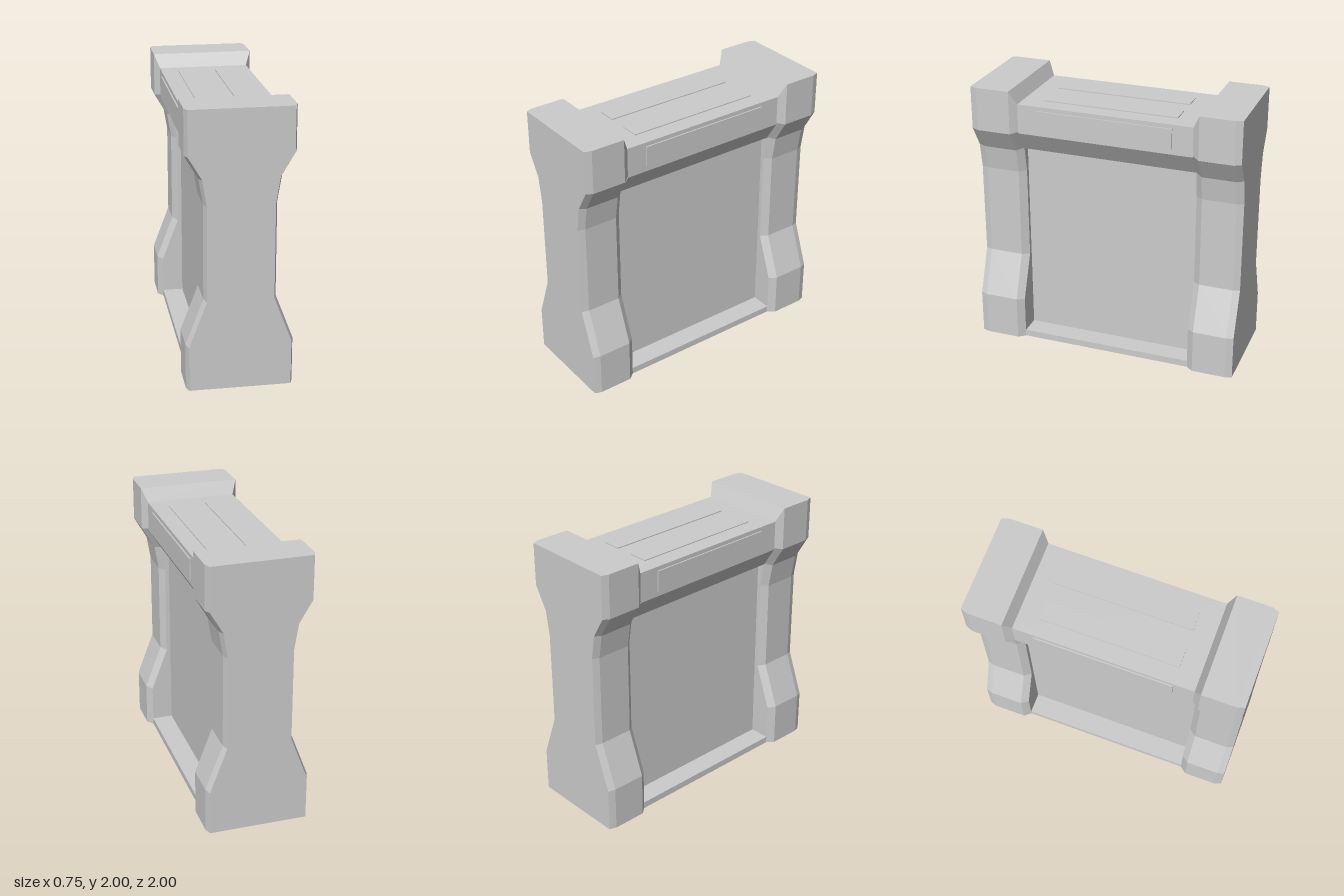
import * as THREE from 'three';

const material = new THREE.MeshStandardMaterial({ color: 0xcccccc, flatShading: true });

// Half outline of a pillar: x, y, and how far y shifts per unit of inset
const PILLAR = [
  [0.375, 0, 0], [0.375, 0.33, -0.18], [0.25, 0.66, -0.18], [0.25, 1.34, 0.08],
  [0.28, 1.52, 0.36], [0.375, 1.68, 0.28], [0.375, 2, 0],
];
// Cross-sections along z: z, inset, top height
const SECTIONS = [[0.65, 0.04, 1.9], [0.7, 0, 2], [0.95, 0, 2], [1, 0.018, 2]];

function mirrored(half) {
  return [...half, ...half.map(([x, y]) => [-x, y]).reverse()];
}

function pillarGeometry() {
  const positions = [];
  const index = [];
  const n = PILLAR.length * 2;
  for (const [z, inset, top] of SECTIONS) {
    const half = PILLAR.map(([x, y, k]) => [x - inset, Math.min(y + k * inset, top)]);
    for (const [x, y] of mirrored(half)) positions.push(x, y, z);
  }
  const quad = (a, b, c, d) => index.push(a, b, c, a, c, d);
  // Side walls between neighbouring sections
  for (let s = 0; s < SECTIONS.length - 1; s++) {
    for (let i = 0; i < n; i++) {
      const j = (i + 1) % n;
      quad(s * n + i, s * n + j, (s + 1) * n + j, (s + 1) * n + i);
    }
  }
  // End caps as horizontal strips from left to right
  const last = (SECTIONS.length - 1) * n;
  for (let i = 0; i < PILLAR.length - 1; i++) {
    const l = n - 1 - i;
    quad(i, l, l - 1, i + 1);
    quad(last + l, last + i, last + i + 1, last + l - 1);
  }
  const geometry = new THREE.BufferGeometry();
  geometry.setAttribute('position', new THREE.Float32BufferAttribute(positions, 3));
  geometry.setIndex(index);
  const flat = geometry.toNonIndexed();
  flat.computeVertexNormals();
  return flat;
}

export function createModel() {
  const group = new THREE.Group();
  const add = (name, geometry, x = 0, y = 0, z = 0) => {
    const mesh = new THREE.Mesh(geometry, material);
    mesh.name = name;
    mesh.position.set(x, y, z);
    group.add(mesh);
    return mesh;
  };

  // Matching pillars at both ends
  const pillar = pillarGeometry();
  add('frontPillar', pillar);
  add('backPillar', pillar).rotation.y = Math.PI;

  // Wall with floor sill, recessed panel and overhanging top beam
  const wall = mirrored([
    [0.335, 0], [0.335, 0.05], [0.18, 0.05], [0.18, 1.53],
    [0.24, 1.53], [0.335, 1.68], [0.335, 1.9],
  ]);
  const shape = new THREE.Shape(wall.map(([x, y]) => new THREE.Vector2(x, y)));
  add('wall', new THREE.ExtrudeGeometry(shape, { depth: 1.3, bevelEnabled: false }), 0, 0, -0.65);

  // Thin raised plates on the sides and top of the beam
  for (const [side, s] of [['left', 1], ['right', -1]]) {
    add(side + 'SidePlate', new THREE.BoxGeometry(0.03, 0.15, 1), s * 0.33, 1.795, 0);
    add(side + 'TopPlate', new THREE.BoxGeometry(0.14, 0.03, 1), s * 0.14, 1.892, 0);
  }
  return group;
}
